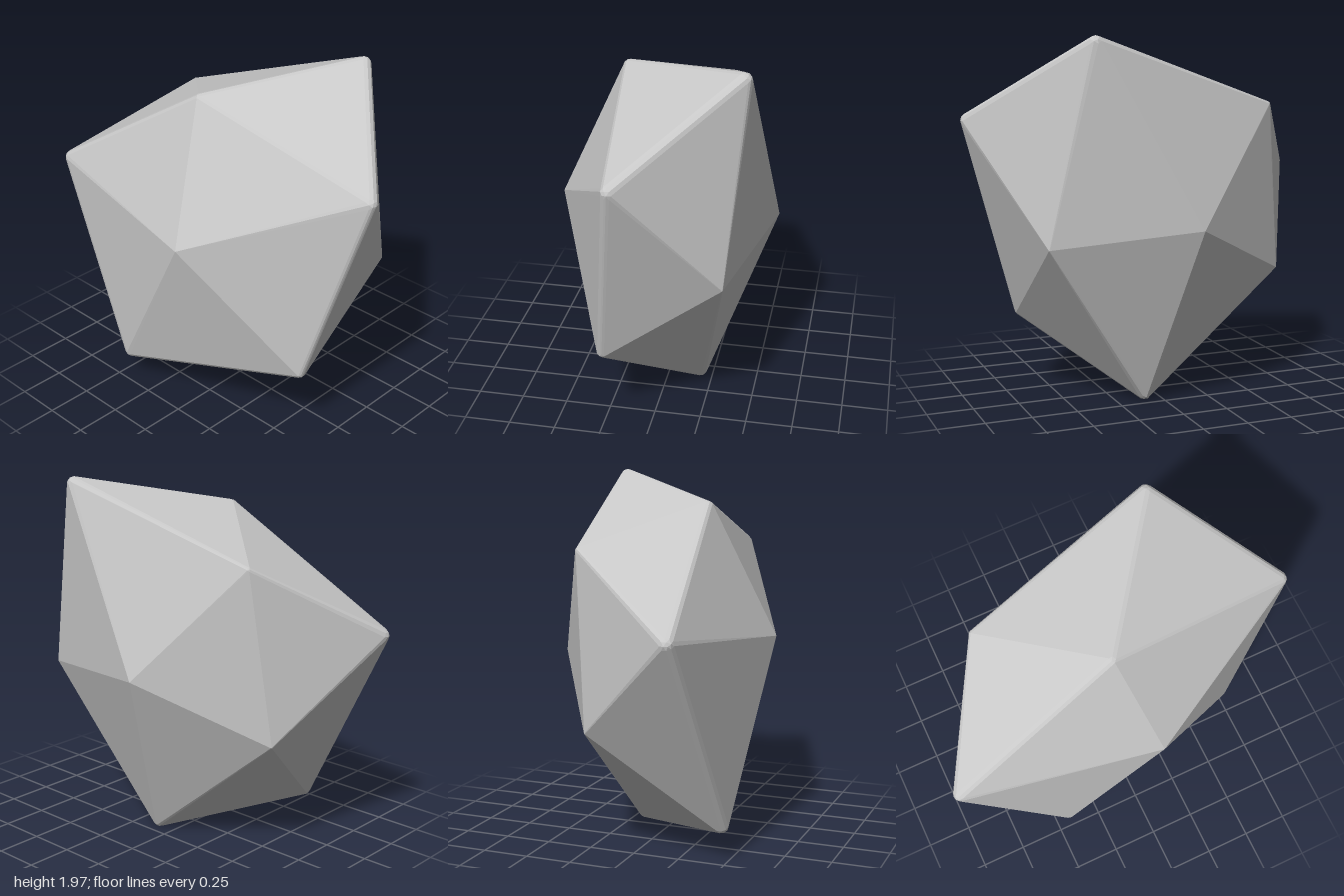
import * as THREE from 'three';
import { ConvexGeometry } from 'three/addons/geometries/ConvexGeometry.js';

// Corners of a squashed, twenty-sided stone: x, y, z, edge rounding radius
const corners = [
  [0.10, 1.10, 0.58, 0],       // front point
  [-1.00, 1.21, 0.385, 0.04],  // ring around the front point
  [-0.05, 1.82, 0.245, 0.035],
  [1.00, 1.54, 0.12, 0.04],
  [0.69, 0.44, 0.25, 0.035],
  [-0.44, 0.15, 0.475, 0.04],
  [0.47, 1.96, -0.455, 0.04],  // ring around the back point
  [-0.60, 1.60, -0.26, 0.02],
  [-0.70, 0.67, -0.18, 0.01],
  [0.10, 0.00, -0.19, 0.04],
  [0.69, 0.90, -0.385, 0.006],
  [-0.08, 0.98, -0.58, 0],     // back point
];

export function createModel() {
  const model = new THREE.Group();
  model.name = 'rock';
  const stone = new THREE.MeshStandardMaterial({ color: 0xc8c8c8 });
  stone.name = 'light stone grey';

  // Directions used to round a corner with a tiny ball
  const ball = new THREE.IcosahedronGeometry(1, 1).attributes.position;
  const middle = new THREE.Vector3(0, 1, 0);
  const points = [];
  for (const [x, y, z, r] of corners) {
    const tip = new THREE.Vector3(x, y, z);
    if (r === 0) {
      points.push(tip);
      continue;
    }
    // Set the ball inside the corner so that its surface reaches the tip
    const outward = tip.clone().sub(middle).normalize();
    const centre = tip.clone().addScaledVector(outward, -r);
    const seen = new Set();
    for (let i = 0; i < ball.count; i++) {
      const dir = new THREE.Vector3().fromBufferAttribute(ball, i);
      const key = dir.toArray().map((n) => Math.round(n * 1000)).join();
      if (seen.has(key) || dir.dot(outward) < -0.1) continue;
      seen.add(key);
      points.push(centre.clone().addScaledVector(dir, r));
    }
  }

  // The hull gives flat facets with narrow bevels along the sharp edges
  const body = new THREE.Mesh(new ConvexGeometry(points), stone);
  body.name = 'facetedStone';
  model.add(body);
  return model;
}
